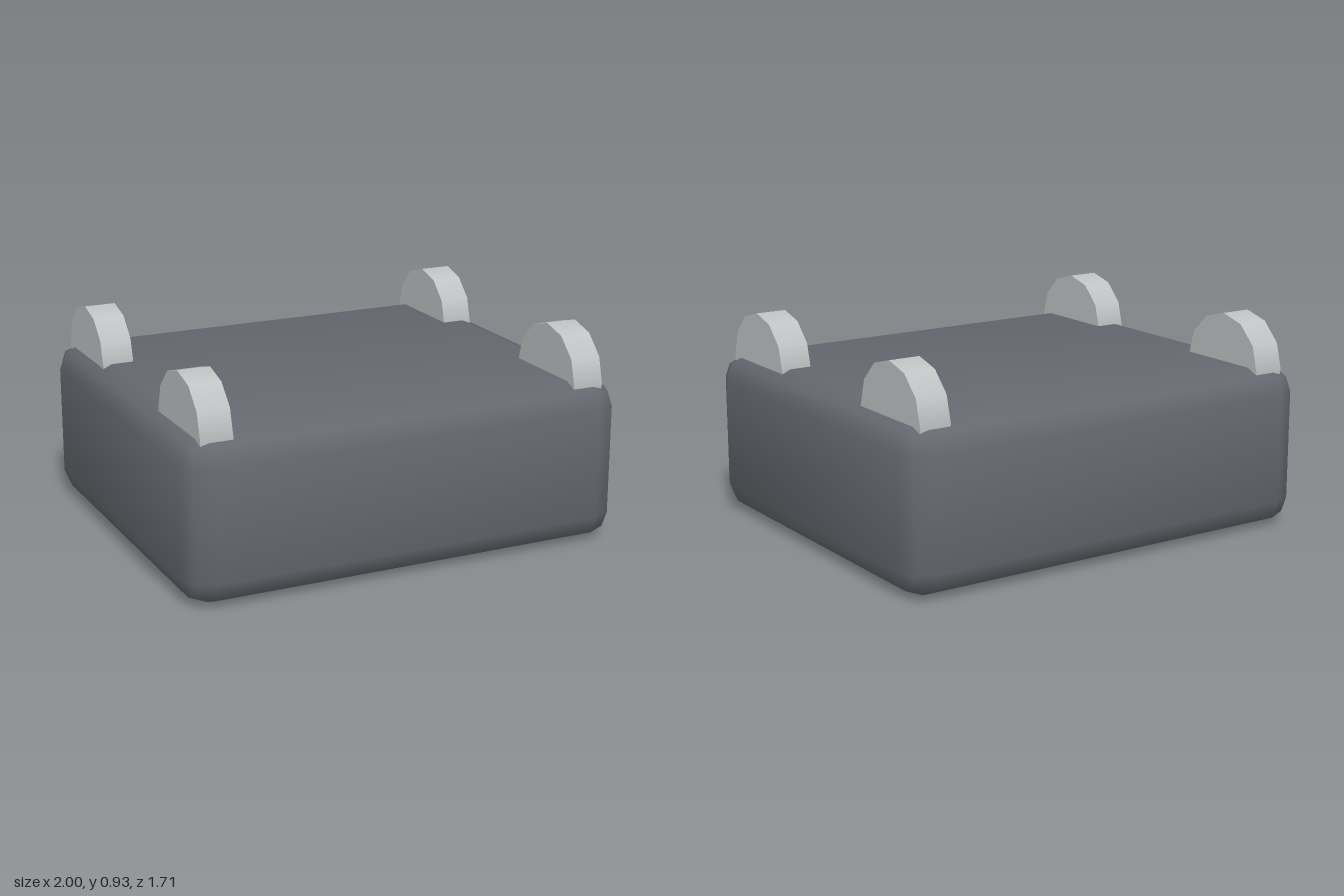
import * as THREE from 'three';
import { mergeVertices } from 'three/addons/utils/BufferGeometryUtils.js';
import { RoundedBoxGeometry } from 'three/addons/geometries/RoundedBoxGeometry.js';

// Smooth normals weighted by corner angle, so large faces shade softly into the bevels
function softenNormals(geometry) {
  geometry.deleteAttribute('normal');
  geometry.deleteAttribute('uv');
  geometry.clearGroups();
  const geo = mergeVertices(geometry, 1e-4);
  const pos = geo.attributes.position;
  const index = geo.index;
  const sums = Array.from({ length: pos.count }, () => new THREE.Vector3());
  for (let i = 0; i < index.count; i += 3) {
    const ids = [0, 1, 2].map((k) => index.getX(i + k));
    const p = ids.map((id) => new THREE.Vector3().fromBufferAttribute(pos, id));
    const edge = (a, b) => p[b].clone().sub(p[a]);
    const normal = edge(0, 1).cross(edge(0, 2));
    if (normal.length() < 1e-9) continue;
    normal.normalize();
    for (let k = 0; k < 3; k++) {
      const angle = edge(k, (k + 1) % 3).angleTo(edge(k, (k + 2) % 3));
      sums[ids[k]].addScaledVector(normal, angle);
    }
  }
  const normals = sums.flatMap((n) => n.normalize().toArray());
  geo.setAttribute('normal', new THREE.Float32BufferAttribute(normals, 3));
  return geo;
}

export function createModel() {
  const model = new THREE.Group();
  model.name = 'bodyWithWheels';

  const darkGrey = new THREE.MeshStandardMaterial({ color: 0x65686f });
  darkGrey.name = 'darkGrey';
  const lightGrey = new THREE.MeshStandardMaterial({ color: 0xbfc3c4 });
  lightGrey.name = 'lightGrey';

  // Body: box with a two-step bevel
  const height = 0.715;
  const body = new THREE.Mesh(
    softenNormals(new RoundedBoxGeometry(2, height, 1.71, 1, 0.115)), darkGrey);
  body.name = 'body';
  body.position.y = height / 2;
  model.add(body);

  // Four twelve-sided wheels, half sunk into the top
  const wheelGeometry = new THREE.CylinderGeometry(0.23, 0.23, 0.14, 12).rotateZ(Math.PI / 2);
  for (const [side, x] of [['Left', 0.855], ['Right', -0.855]]) {
    for (const [end, z] of [['front', 0.57], ['back', -0.57]]) {
      const wheel = new THREE.Mesh(wheelGeometry, lightGrey);
      wheel.name = `${end}${side}Wheel`;
      wheel.position.set(x, 0.7, z);
      model.add(wheel);
    }
  }
  return model;
}
